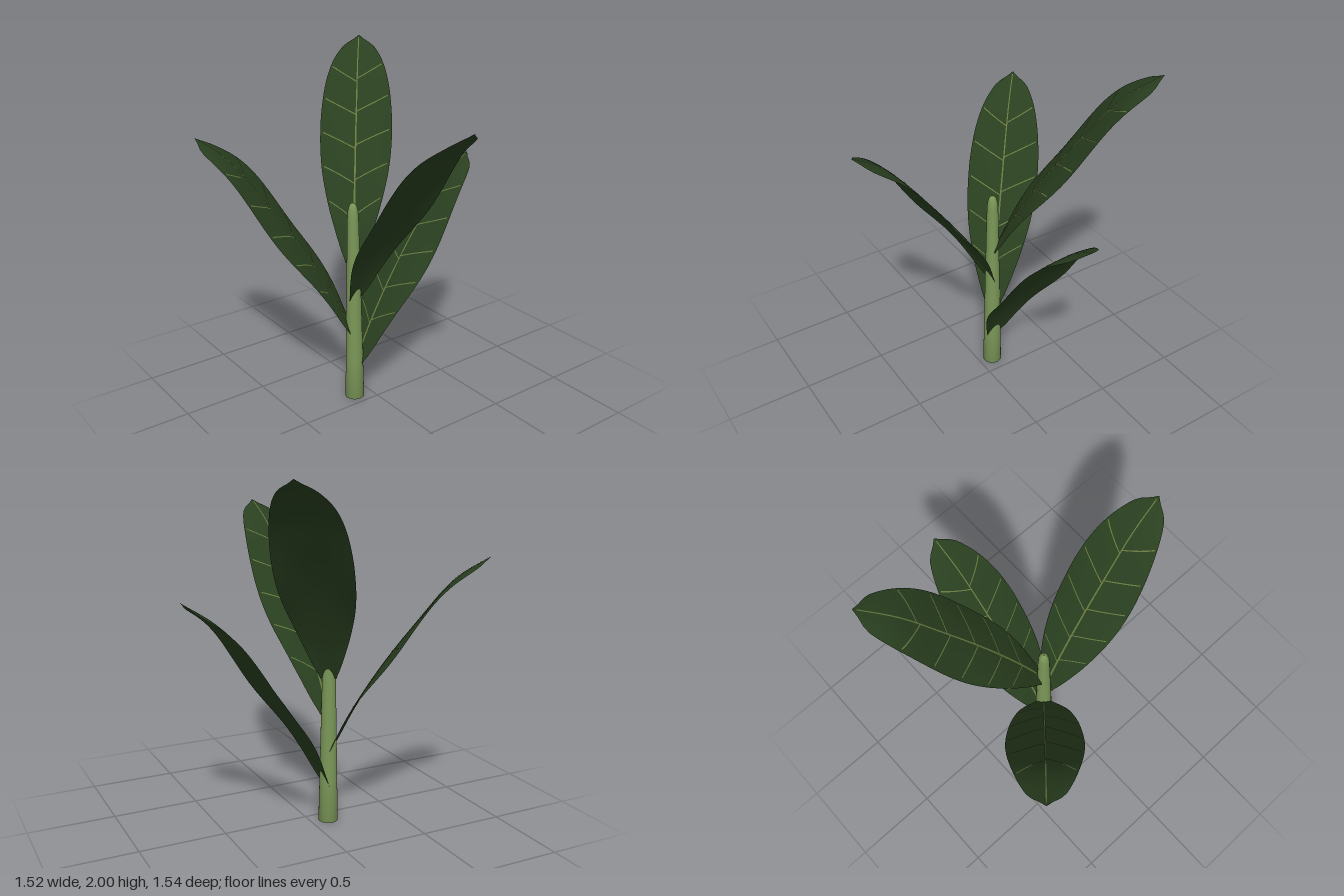
import * as THREE from 'three';

const leafMat = new THREE.MeshStandardMaterial({ color: 0x293f1f, side: THREE.DoubleSide });
leafMat.name = 'leaf green';
const stemMat = new THREE.MeshStandardMaterial({ color: 0x7a9657 });
stemMat.name = 'stem green';
const veinMat = new THREE.MeshStandardMaterial({ color: 0x66783f });
veinMat.name = 'vein green';

// Midrib of a leaf: outward along x, rising along y
const midline = new THREE.CatmullRomCurve3([
  [0.01, 0], [0.12, 0.225], [0.295, 0.515], [0.495, 0.79], [0.675, 1.01], [0.86, 1.14],
].map(([x, y]) => new THREE.Vector3(x, y, 0)));

// Half width of the blade at even steps along the midrib
const widths = new THREE.SplineCurve(
  [0.046, 0.072, 0.096, 0.118, 0.139, 0.157, 0.173, 0.187, 0.197, 0.204, 0.208,
    0.209, 0.208, 0.203, 0.196, 0.185, 0.17, 0.15, 0.123, 0.083, 0]
    .map((w, i) => new THREE.Vector2(i / 20, w)));
const halfWidth = (t) => Math.max(0, widths.getPoint(t).y);

// Point on the blade: t runs base to tip, s runs -1..1 across, lift raises it off the face
function bladePoint(t, s, lift = 0) {
  const p = midline.getPointAt(t);
  const d = midline.getTangentAt(t);
  const w = halfWidth(t);
  // Edges droop, with a gentle wave
  const h = lift - (0.1 - 0.05 * Math.sin(12 * t - 1)) * w * s * s;
  return new THREE.Vector3(p.x - d.y * h, p.y + d.x * h, w * s);
}

// Sheet from a function of u (towards the tip) and v (across), facing up
function sheet(rows, cols, point) {
  const pos = [], index = [];
  for (let i = 0; i <= rows; i++) {
    for (let j = 0; j <= cols; j++) {
      pos.push(...point(i / rows, j / cols).toArray());
      if (i < rows && j < cols) {
        const a = i * (cols + 1) + j, b = a + cols + 1;
        index.push(a, a + 1, b, b, a + 1, b + 1);
      }
    }
  }
  const g = new THREE.BufferGeometry();
  g.setAttribute('position', new THREE.Float32BufferAttribute(pos, 3));
  g.setIndex(index);
  g.computeVertexNormals();
  return g;
}

// Thin vein from the midrib to one edge, sweeping towards the tip
function sideVein(t0, side) {
  return sheet(1, 10, (u, v) => {
    const s = 0.92 * (side > 0 ? v : v - 1);
    return bladePoint(t0 + 0.08 * Math.abs(s) + (u - 0.5) * 0.005, s, 0.003);
  });
}

function add(parent, name, geometry, material) {
  const mesh = new THREE.Mesh(geometry, material);
  mesh.name = name;
  parent.add(mesh);
}

export function createModel() {
  const plant = new THREE.Group();
  plant.name = 'plant';
  const shoot = new THREE.Group();
  shoot.name = 'shoot';
  shoot.position.set(-0.104, 0, -0.087);
  plant.add(shoot);

  // Tapered stem with a rounded bud on top
  const profile = [[0, 0], [0.056, 0], [0.051, 0.25], [0.043, 0.65], [0.032, 1.13],
    [0.029, 1.175], [0.022, 1.205], [0.011, 1.22], [0, 1.224]];
  const stem = new THREE.LatheGeometry(profile.map(([x, y]) => new THREE.Vector2(x, y)), 24);
  add(shoot, 'stem', stem, stemMat);

  // Four equal leaves spiralling up the stem
  const blade = sheet(48, 12, (u, v) => bladePoint(u, 2 * v - 1));
  const midrib = sheet(40, 2, (u, v) => {
    const t = 0.985 * u;
    return bladePoint(t, (2 * v - 1) * 0.006 * (1 - 0.55 * u) / halfWidth(t), 0.003);
  });
  const sideVeins = [];
  for (let i = 0; i < 5; i++) {
    const t = 0.17 + i * 0.145;
    sideVeins.push(sideVein(t, -1), sideVein(t + 0.015, 1));
  }
  [1.3, 138.5, 275.9, 411.3].forEach((angle, i) => {
    const leaf = new THREE.Group();
    leaf.name = 'leaf' + (i + 1);
    leaf.position.y = 0.22 + i * 0.213;
    leaf.rotation.y = THREE.MathUtils.degToRad(angle);
    add(leaf, 'blade', blade, leafMat);
    add(leaf, 'midrib', midrib, veinMat);
    sideVeins.forEach((g) => add(leaf, 'sideVein', g, veinMat));
    shoot.add(leaf);
  });
  return plant;
}
